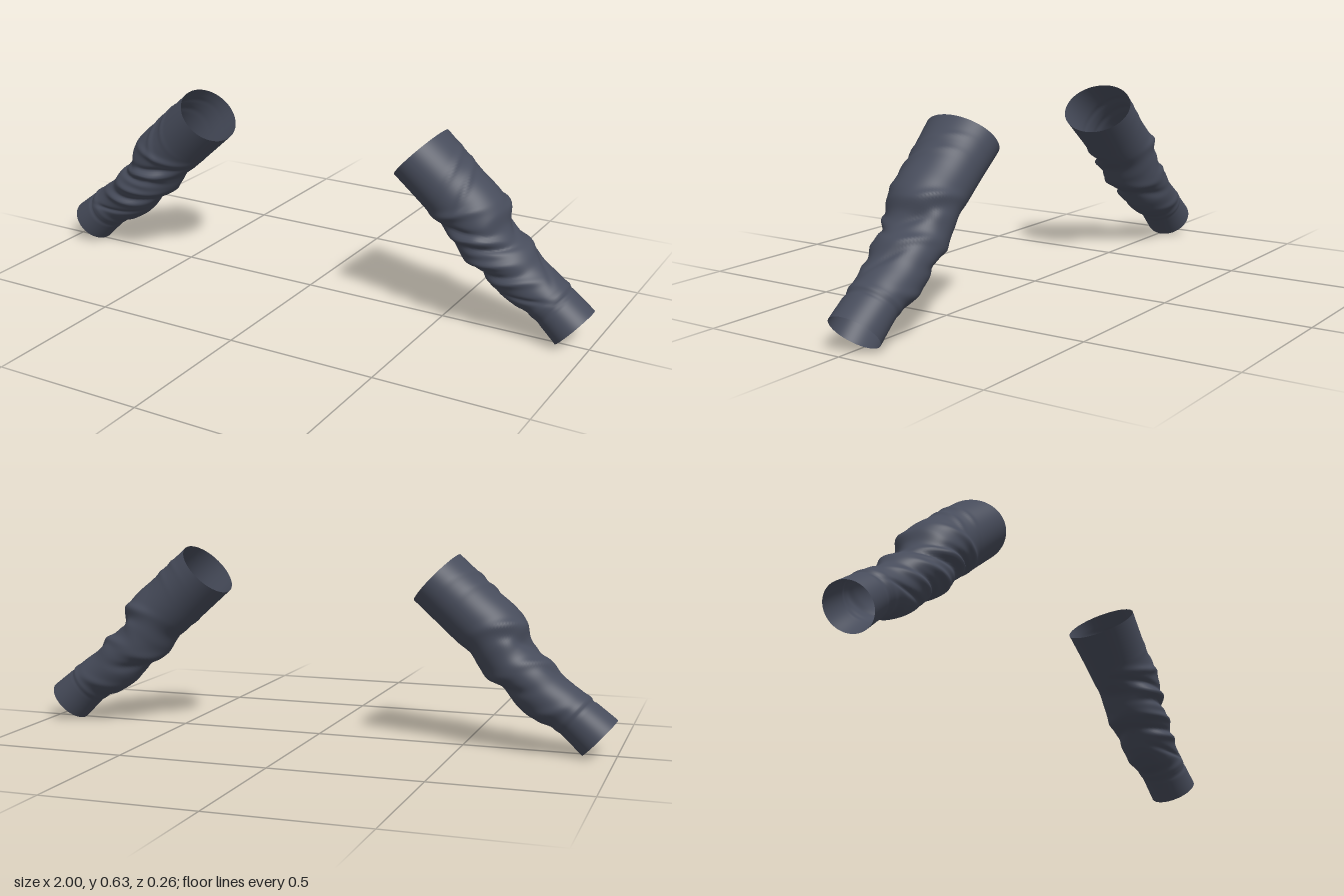
import * as THREE from 'three';

const SLATE = new THREE.MeshStandardMaterial({ color: 0x474c5b, side: THREE.DoubleSide });
SLATE.name = 'slate cloth';

// Sleeve outline as [distance along axis, offset]
const OUTER = [[0, .106], [.1, .108], [.17, .108], [.25, .112], [.31, .102], [.35, .074], [.4, .064],
  [.45, .07], [.505, .063], [.57, .07], [.64, .076], [.73, .084]];
const INNER = [[0, -.102], [.13, -.101], [.2, -.1], [.25, -.095], [.3, -.108], [.353, -.111], [.41, -.1],
  [.478, -.108], [.558, -.096], [.6, -.077], [.64, -.073], [.73, -.076]];
const FRONT = [[0, .13], [.15, .117], [.3, .112], [.44, .094], [.59, .073], [.73, .074]];
const BACK = [[0, -.13], [.15, -.12], [.3, -.117], [.44, -.116], [.57, -.107], [.62, -.1], [.73, -.098]];

// Cloth folds: [along, tilt, angle, spread, width, height]
// angle: 0 outer side, PI/2 front, PI inner side, -PI/2 back
const FOLDS = [
  [.10, .05, 0.3, 1.1, .010, .004],
  [.17, .06, 0.5, 1.2, .012, .005],
  [.22, -.06, 1.7, 0.9, .016, .008],
  [.27, -.09, 1.9, 0.8, .014, -.011],
  [.31, -.08, 1.7, 0.9, .016, .013],
  [.355, -.07, 1.5, 0.9, .014, -.013],
  [.40, -.08, 1.8, 0.8, .018, .012],
  [.445, -.06, 2.0, 0.8, .014, -.012],
  [.49, -.07, 1.6, 0.8, .018, .010],
  [.545, -.10, 1.9, 0.7, .014, -.008],
  [.28, .07, -0.8, 0.7, .018, .010],
  [.34, .08, -0.6, 0.7, .018, -.010],
  [.42, .06, -0.7, 0.7, .020, .008],
  [.50, .12, -0.2, 0.6, .016, -.006],
  [.36, .05, -2.4, 0.7, .022, .007],
  [.43, .06, -2.3, 0.7, .018, -.007],
  [.55, .05, -2.0, 0.8, .020, .005],
  [.615, 0, 0, 9, .012, .003],
  [.635, .01, 0.4, 2.2, .006, -.004],
];

const START = new THREE.Vector3(.405, .55, 0);
const AXIS = new THREE.Vector3(.737, -.676, 0);
const ACROSS = new THREE.Vector3(.676, .737, 0);
const LENGTH = .729, ROWS = 110, SIDES = 80;

// Smooth lookup through a short list of key points
function sample(keys, t) {
  let i = 0;
  while (i < keys.length - 2 && t > keys[i + 1][0]) i++;
  const slope = (j) => {
    const a = keys[Math.max(j - 1, 0)], b = keys[Math.min(j + 1, keys.length - 1)];
    return (b[1] - a[1]) / (b[0] - a[0]);
  };
  const [t0, v0] = keys[i], [t1, v1] = keys[i + 1];
  const h = t1 - t0, f = (t - t0) / h, f2 = f * f, f3 = f2 * f;
  return (2 * f3 - 3 * f2 + 1) * v0 + (f3 - 2 * f2 + f) * h * slope(i)
    + (3 * f2 - 2 * f3) * v1 + (f3 - f2) * h * slope(i + 1);
}

function foldHeight(t, a) {
  let sum = 0;
  for (const [along, tilt, angle, spread, width, height] of FOLDS) {
    const da = Math.atan2(Math.sin(a - angle), Math.cos(a - angle));
    const d = (t - along - tilt * Math.sin(da)) / width;
    sum += height * Math.exp(-d * d - (da / spread) ** 2);
  }
  return sum;
}

// Open tube of cross-sections; side is +1 for left, -1 for right
function sleeveGeometry(side) {
  const positions = [], indices = [];
  const p = new THREE.Vector3();
  for (let r = 0; r <= ROWS; r++) {
    const t = LENGTH * r / ROWS;
    const outer = sample(OUTER, t), inner = sample(INNER, t);
    const front = sample(FRONT, t), back = sample(BACK, t);
    for (let s = 0; s < SIDES; s++) {
      const a = s / SIDES * Math.PI * 2;
      const fold = foldHeight(t, a);
      const across = (outer + inner) / 2 + ((outer - inner) / 2 + fold) * Math.cos(a);
      const z = (front + back) / 2 + ((front - back) / 2 + fold) * Math.sin(a);
      p.copy(START).addScaledVector(AXIS, t).addScaledVector(ACROSS, across);
      positions.push(p.x * side, p.y, z);
      if (r === ROWS) continue;
      const i = r * SIDES + s, j = r * SIDES + (s + 1) % SIDES;
      const k = i + SIDES, l = j + SIDES;
      if (side > 0) indices.push(i, k, j, j, k, l);
      else indices.push(i, j, k, j, l, k);
    }
  }
  const geometry = new THREE.BufferGeometry();
  geometry.setAttribute('position', new THREE.Float32BufferAttribute(positions, 3));
  // Outward winding
  for (let i = 0; i < indices.length; i += 3) {
    [indices[i + 1], indices[i + 2]] = [indices[i + 2], indices[i + 1]];
  }
  geometry.setIndex(indices);
  geometry.computeVertexNormals();
  return geometry;
}

export function createModel() {
  const model = new THREE.Group();
  model.name = 'sleeves';
  for (const [name, side] of [['leftSleeve', 1], ['rightSleeve', -1]]) {
    const sleeve = new THREE.Mesh(sleeveGeometry(side), SLATE);
    sleeve.name = name;
    model.add(sleeve);
  }
  return model;
}
